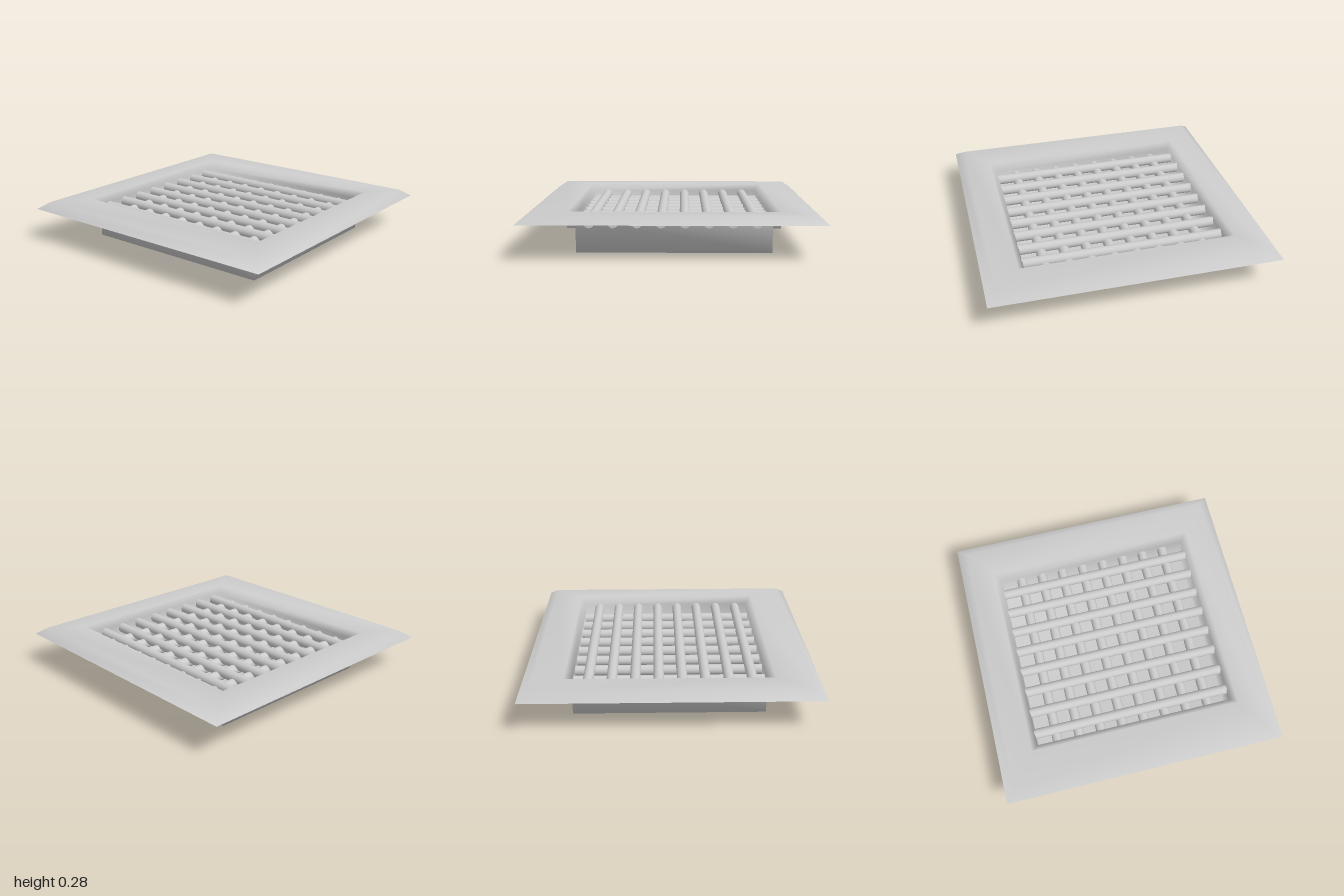
import * as THREE from 'three';

const material = new THREE.MeshStandardMaterial({ color: 0xcccccc, side: THREE.DoubleSide });

// Rectangular loops [xMin, xMax, zHalf, y] joined by quads, the last one closed by a floor
function rectangularShell(loops) {
  const positions = [], index = [];
  for (const [x0, x1, z, y] of loops) positions.push(x0, y, z, x1, y, z, x1, y, -z, x0, y, -z);
  for (let i = 0; i < loops.length - 1; i++) {
    for (let k = 0; k < 4; k++) {
      const a = i * 4 + k, b = i * 4 + (k + 1) % 4;
      index.push(a, b, b + 4, a, b + 4, a + 4);
    }
  }
  const f = (loops.length - 1) * 4;
  index.push(f, f + 1, f + 2, f, f + 2, f + 3);
  const geometry = new THREE.BufferGeometry();
  geometry.setAttribute('position', new THREE.Float32BufferAttribute(positions, 3));
  geometry.setIndex(index);
  geometry.computeVertexNormals();
  return geometry;
}

export function createModel() {
  const model = new THREE.Group();
  model.name = 'floorGrate';

  // Thin sheet: bevelled flange, dipped rim and basin
  const shell = new THREE.Mesh(rectangularShell([
    [-1, 1, 1, 0.235],
    [-0.93, 0.93, 0.93, 0.285],
    [-0.69, 0.715, 0.755, 0.285],
    [-0.645, 0.67, 0.71, 0.235],
    [-0.645, 0.67, 0.71, 0],
  ]), material);
  shell.name = 'flangeAndBasin';
  model.add(shell);

  // Two crossing layers of round bars that pass through the basin walls
  const lengthBars = new THREE.Group();
  lengthBars.name = 'lengthBars';
  const crossBars = new THREE.Group();
  crossBars.name = 'crossBars';
  const radius = 0.036;
  for (let i = 0; i < 8; i++) {
    const offset = (i - 3.5) * 0.16;

    const lengthBar = new THREE.Mesh(new THREE.CylinderGeometry(radius, radius, 1.46, 32), material);
    lengthBar.rotation.x = Math.PI / 2;
    lengthBar.position.set(offset + 0.005, 0.205, 0);
    lengthBar.name = 'lengthBar';
    lengthBars.add(lengthBar);

    const crossBar = new THREE.Mesh(new THREE.CylinderGeometry(radius, radius, 1.46, 32), material);
    crossBar.rotation.z = Math.PI / 2;
    crossBar.position.set(0.01, 0.175, offset - 0.003);
    crossBar.name = 'crossBar';
    crossBars.add(crossBar);
  }
  model.add(lengthBars, crossBars);
  return model;
}
